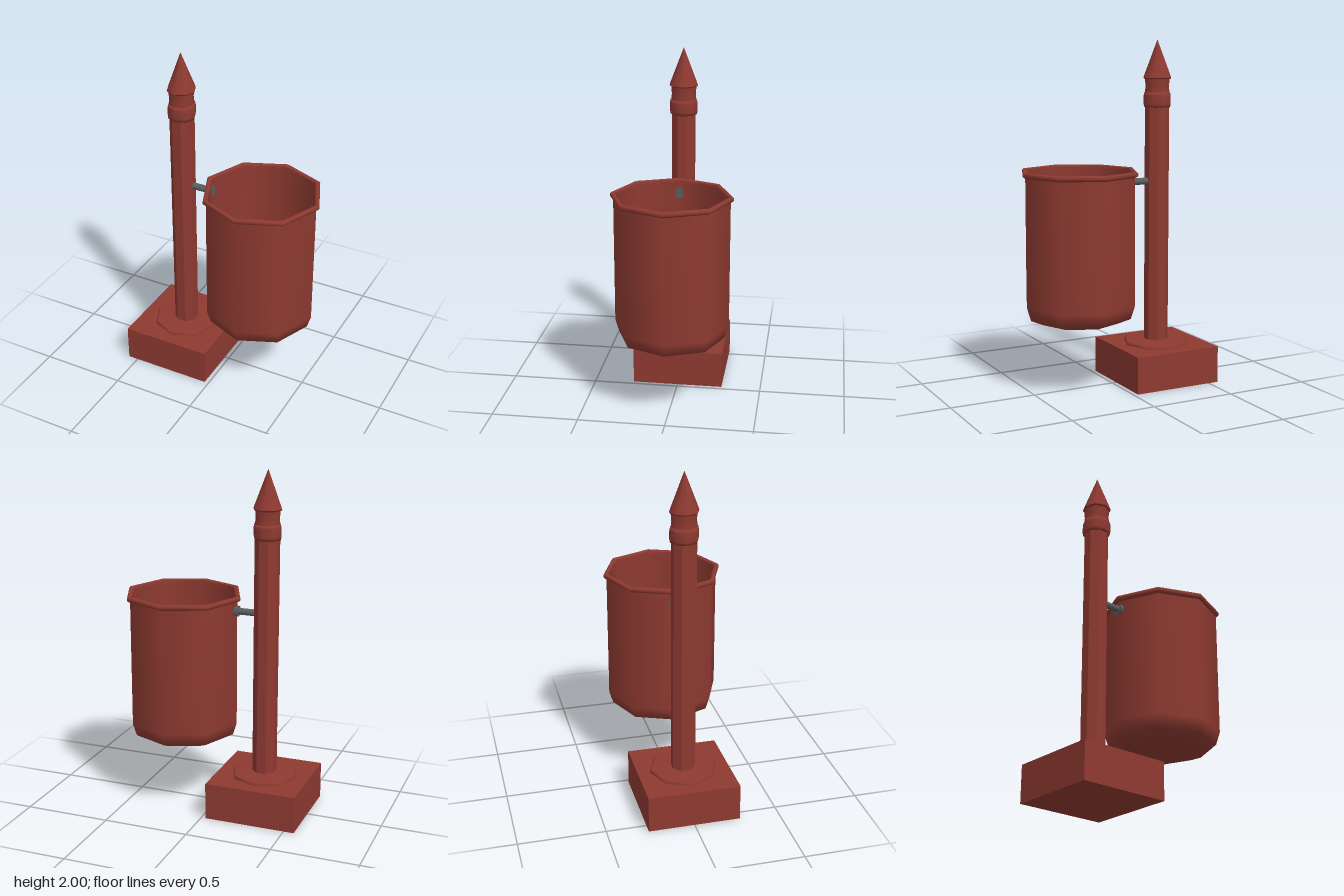
import * as THREE from 'three';

const SIDES = 8;
const POST_X = -0.293;
const BIN_X = 0.21;

export function createModel() {
  const model = new THREE.Group();
  model.name = 'postMountedBin';
  const red = new THREE.MeshStandardMaterial({ color: 0x8e3a31 });
  red.name = 'brick red';
  const grey = new THREE.MeshStandardMaterial({ color: 0x5c5e5e });
  grey.name = 'steel grey';

  const add = (name, geometry, material, x = 0, y = 0, z = 0) => {
    const mesh = new THREE.Mesh(geometry, material);
    mesh.name = name;
    mesh.position.set(x, y, z);
    model.add(mesh);
    return mesh;
  };
  // Profiles run from the bottom up on the outside
  const lathe = (points) =>
    new THREE.LatheGeometry(points.map(([r, y]) => new THREE.Vector2(r, y)), SIDES);
  const faceted = (geometry) => {
    const flat = geometry.toNonIndexed();
    flat.computeVertexNormals();
    return flat;
  };

  // Square plinth and the collar plate at the foot of the post
  add('plinth', new THREE.BoxGeometry(0.535, 0.215, 0.535), red, POST_X, 0.1075);
  add('footCollar', lathe([[0.195, 0.213], [0.195, 0.228], [0.185, 0.236], [0.06, 0.24]]), red, POST_X);

  // Octagonal post with flat faces to the front and sides
  const post = faceted(new THREE.CylinderGeometry(0.071, 0.071, 1.44, SIDES));
  add('post', post, red, POST_X, 0.93).rotation.y = Math.PI / SIDES;

  // Turned finial: ring, neck and pointed cap
  add('finialRing', lathe([
    [0.05, 1.61], [0.077, 1.612], [0.081, 1.63], [0.081, 1.68], [0.077, 1.698], [0.05, 1.7],
  ]), red, POST_X);
  add('finialNeck', lathe([[0.074, 1.695], [0.07, 1.73], [0.074, 1.78]]), red, POST_X);
  add('finialCapUnderside', lathe([[0, 1.775], [0.078, 1.775], [0.083, 1.782]]), red, POST_X);
  add('finialCap', lathe([[0.083, 1.782], [0.076, 1.802], [0, 2]]), red, POST_X);

  // Bin: rounded bottom, straight wall, and a hollow inside
  add('binShell', lathe([
    [0, 0.4], [0.23, 0.4], [0.305, 0.432], [0.328, 0.505], [0.328, 1.25],
  ]), red, BIN_X);
  add('binInside', lathe([
    [0.318, 1.265], [0.318, 0.51], [0.295, 0.442], [0.222, 0.412], [0, 0.412],
  ]), red, BIN_X);
  add('binRim', lathe([
    [0.326, 1.236], [0.341, 1.243], [0.346, 1.25], [0.346, 1.262], [0.339, 1.27],
    [0.326, 1.27], [0.317, 1.258],
  ]), red, BIN_X);

  // Steel arm with a flange clamped on each side of the bin wall
  const rod = (name, radius, length, x) => {
    const mesh = add(name, new THREE.CylinderGeometry(radius, radius, length, SIDES), grey, x, 1.185);
    mesh.rotation.z = Math.PI / 2;
  };
  rod('bracketArm', 0.02, 0.135, -0.175);
  rod('outerFlange', 0.033, 0.016, -0.119);
  rod('innerFlange', 0.033, 0.012, -0.105);

  return model;
}
